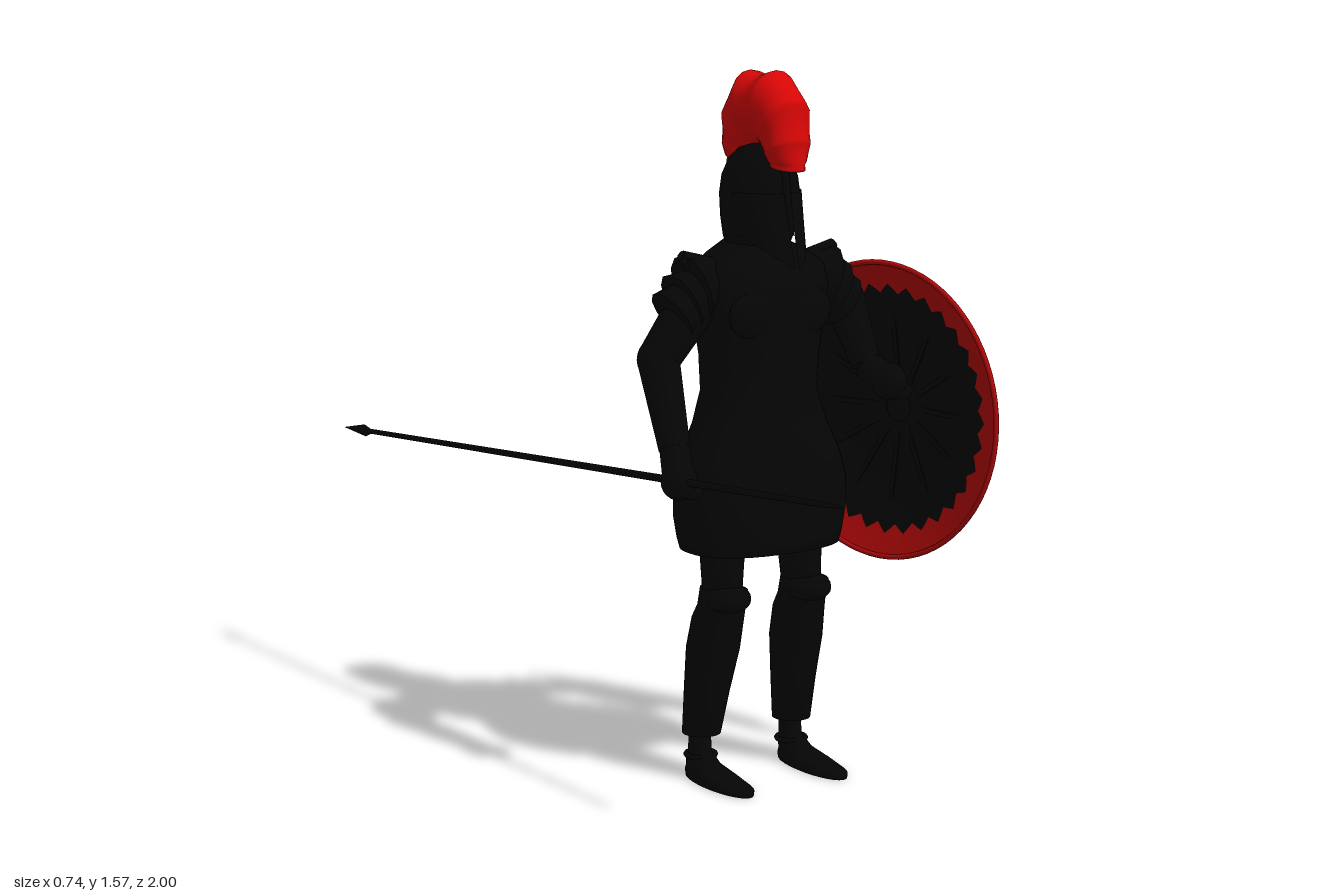
import * as THREE from 'three';

function flat(name, color) {
  const m = new THREE.MeshStandardMaterial({ color, side: THREE.DoubleSide });
  m.name = name;
  return m;
}
const black = flat('black armour', 0x050505);
const red = flat('crest red', 0xd70606);
const darkRed = flat('shield red', 0xb20808);

const V = (x, y, z) => new THREE.Vector3(x, y, z);

function add(parent, name, geometry, material = black) {
  const mesh = new THREE.Mesh(geometry, material);
  mesh.name = name;
  parent.add(mesh);
  return mesh;
}

// Skin over rows of points; closed rows wrap around
function skin(rows, closed = true) {
  const n = rows[0].length, index = [];
  for (let r = 0; r < rows.length - 1; r++) {
    for (let i = 0; i < (closed ? n : n - 1); i++) {
      const j = (i + 1) % n, a = r * n + i, b = a + n, c = r * n + j, d = c + n;
      index.push(a, b, c, b, d, c);
    }
  }
  const g = new THREE.BufferGeometry().setFromPoints(rows.flat());
  g.setIndex(index);
  g.computeVertexNormals();
  return g;
}

// Upright body from ellipses [y, centreX, centreZ, radiusX, radiusZ], bottom to top;
// a power below 1 makes the outline squarer
function loft(sections, seg = 28, power = 1) {
  const bend = v => Math.sign(v) * Math.abs(v) ** power;
  const first = sections[0], last = sections[sections.length - 1];
  const all = [[...first.slice(0, 3), 0, 0], ...sections, [...last.slice(0, 3), 0, 0]];
  return skin(all.map(([y, cx, cz, rx, rz]) => Array.from({ length: seg }, (_, i) => {
    const t = (i / seg) * Math.PI * 2;
    return V(cx + rx * bend(Math.cos(t)), y, cz + rz * bend(Math.sin(t)));
  })));
}

// Tapered cylinder between two points
function bone(parent, name, a, b, ra, rb, seg = 14) {
  const mesh = add(parent, name, new THREE.CylinderGeometry(rb, ra, a.distanceTo(b), seg));
  mesh.position.copy(a).lerp(b, 0.5);
  mesh.quaternion.setFromUnitVectors(V(0, 1, 0), b.clone().sub(a).normalize());
  return mesh;
}

function ball(parent, name, p, rx, ry = rx, rz = rx) {
  const mesh = add(parent, name, new THREE.SphereGeometry(1, 16, 12));
  mesh.position.copy(p);
  mesh.scale.set(rx, ry, rz);
  return mesh;
}

function makeLeg(s) {
  const leg = new THREE.Group();
  leg.name = s > 0 ? 'leftLeg' : 'rightLeg';
  add(leg, 'thigh', loft([[0.42, s * 0.105, 0.35, 0.04, 0.05], [0.62, s * 0.1, 0.34, 0.055, 0.06]]));
  add(leg, 'greave', loft([
    [0.1, s * 0.121, 0.291, 0.043, 0.044], [0.2, s * 0.116, 0.305, 0.049, 0.055],
    [0.3, s * 0.111, 0.322, 0.057, 0.065], [0.37, s * 0.108, 0.337, 0.054, 0.065],
    [0.4, s * 0.107, 0.35, 0.049, 0.062], [0.44, s * 0.107, 0.36, 0.047, 0.065]]));
  ball(leg, 'kneecap', V(s * 0.107, 0.42, 0.375), 0.052, 0.033, 0.052);
  add(leg, 'foot', loft([
    [0, s * 0.125, 0.37, 0.042, 0.122], [0.012, s * 0.125, 0.37, 0.041, 0.125],
    [0.022, s * 0.125, 0.345, 0.037, 0.095], [0.035, s * 0.124, 0.305, 0.03, 0.055],
    [0.06, s * 0.122, 0.286, 0.023, 0.032], [0.12, s * 0.121, 0.285, 0.022, 0.03]]));
  const strap = add(leg, 'ankleStrap', new THREE.TorusGeometry(0.033, 0.006, 6, 18));
  strap.rotation.x = Math.PI / 2;
  strap.position.set(s * 0.122, 0.05, 0.29);
  return leg;
}

function makeTorso(parent) {
  add(parent, 'cuirassAndTunic', loft([
    [0.525, 0, 0.34, 0.186, 0.122], [0.55, 0, 0.34, 0.193, 0.126], [0.6, 0, 0.34, 0.202, 0.13],
    [0.67, 0, 0.34, 0.202, 0.13], [0.73, 0, 0.34, 0.185, 0.124], [0.8, 0, 0.337, 0.152, 0.112],
    [0.87, 0, 0.333, 0.13, 0.102], [0.95, 0, 0.333, 0.133, 0.107], [1.04, 0, 0.333, 0.148, 0.115],
    [1.1, 0, 0.33, 0.16, 0.11], [1.145, 0, 0.328, 0.152, 0.1], [1.175, 0, 0.325, 0.11, 0.085],
    [1.2, 0, 0.32, 0.06, 0.07], [1.25, 0, 0.32, 0.055, 0.065]], 44, 0.82));
  for (const s of [-1, 1]) {
    ball(parent, 'chestPlate', V(s * 0.06, 1.05, 0.415), 0.07, 0.06, 0.033);
    // Flared shoulder layers with raised points
    for (let i = 0; i < 3; i++) {
      bone(parent, 'shoulderLayer', V(s * (0.11 + i * 0.024), 1.125 - i * 0.016, 0.33),
        V(s * (0.172 + i * 0.025), 1.105 - i * 0.028, 0.33), 0.045, 0.076 - i * 0.007, 12);
    }
    bone(parent, 'shoulderPoint', V(s * 0.14, 1.14, 0.33), V(s * 0.2, 1.178, 0.33), 0.035, 0.012, 8);
  }
}

function makeHelmet(parent) {
  const helmet = new THREE.Group();
  helmet.name = 'helmet';
  add(helmet, 'skullCap', loft([
    [1.185, 0, 0.325, 0.064, 0.078], [1.21, 0, 0.328, 0.073, 0.084], [1.25, 0, 0.333, 0.08, 0.095],
    [1.3, 0, 0.334, 0.081, 0.102], [1.34, 0, 0.334, 0.074, 0.1], [1.375, 0, 0.335, 0.058, 0.087],
    [1.4, 0, 0.336, 0.042, 0.062], [1.412, 0, 0.336, 0.015, 0.025]]));
  // Cheek guards sweep down and forward to a point
  for (const s of [-1, 1]) {
    const rows = [0, 0.33, 0.66, 1].map(t => Array.from({ length: 9 }, (_, i) => {
      const k = i / 8, a = 0.07 + k * 1.37;
      return V(s * Math.sin(a) * 0.083 * (1 - 0.12 * t), 1.31 - t * (0.16 - 0.07 * k),
        0.335 + Math.cos(a) * (0.104 + 0.04 * t));
    }));
    add(helmet, 'cheekGuard', skin(rows, false));
  }
  bone(helmet, 'noseGuard', V(0, 1.36, 0.428), V(0, 1.22, 0.455), 0.01, 0.007, 6);
  parent.add(helmet);

  // Crest: pointed tufts fanned from brow to nape
  const rows = [], steps = 112, start = -0.12, sweep = Math.PI + 0.34;
  for (let k = 0; k <= steps; k++) {
    const a = start + (k / steps) * sweep;
    const c = Math.cos(a), sn = Math.sin(a), mid = Math.max(0, sn);
    const tuft = 1 - Math.abs(Math.sin((k / steps) * Math.PI * 7));
    const out = Math.pow(Math.pow(Math.abs(c) / 0.127, 3) + Math.pow(Math.abs(sn) / 0.198, 3), -1 / 3);
    const rOut = out * (1 - 0.07 * mid * (1 - tuft)), rIn = 0.035;
    const w = (0.035 + 0.027 * Math.sqrt(mid)) * (0.95 + 0.05 * tuft);
    rows.push(Array.from({ length: 20 }, (_, i) => {
      const u = (i / 20) * Math.PI * 2;
      const rad = (rOut + rIn) / 2 + ((rOut - rIn) / 2) * Math.cos(u);
      return V(w * Math.sin(u) * (1 + 0.1 * Math.cos(u)), 1.374 + sn * rad, 0.356 + c * rad);
    }));
  }
  const cap = row => {
    const m = row.reduce((p, q) => p.add(q), V(0, 0, 0)).divideScalar(row.length);
    return row.map(() => m);
  };
  add(parent, 'crest', skin([cap(rows[0]), ...rows, cap(rows[steps])]), red);
}

function makeArm(name, shoulder, elbow, wrist, hand) {
  const arm = new THREE.Group();
  arm.name = name;
  bone(arm, 'upperArm', shoulder, elbow, 0.055, 0.046);
  ball(arm, 'elbow', elbow, 0.047);
  bone(arm, 'forearm', elbow, wrist, 0.046, 0.034);
  bone(arm, 'palm', wrist, hand, 0.033, 0.036);
  ball(arm, 'hand', hand, 0.04, 0.042, 0.042);
  for (let i = 0; i < 4; i++) {
    ball(arm, 'finger', hand.clone().add(V(0.018, -0.02, -0.027 + i * 0.018)), 0.026, 0.018, 0.01);
  }
  return arm;
}

function makeShield() {
  const shield = new THREE.Group();
  shield.name = 'shield';
  const R = 0.335, seg = 128, H = 0.065;
  const dome = r => H * (1 - (r / R) ** 2);
  const disc = (f0, f1, steps) => skin(Array.from({ length: steps + 1 }, (_, k) =>
    Array.from({ length: seg }, (_, i) => {
      const t = (i / seg) * Math.PI * 2, tooth = Math.abs((i % 4) - 2) / 2;
      const r = R * THREE.MathUtils.lerp(f0(tooth), f1(tooth), k / steps);
      return V(r * Math.cos(t), r * Math.sin(t), dome(r));
    })));
  const teeth = tooth => 0.78 + 0.065 * tooth;
  add(shield, 'shieldFace', disc(() => 0, teeth, 8));
  add(shield, 'toothedBorder', disc(teeth, () => 1, 4), darkRed);
  add(shield, 'shieldRim', new THREE.TorusGeometry(R - 0.003, 0.006, 8, 72), darkRed);
  ball(shield, 'boss', V(0, 0, H), 0.035, 0.035, 0.012);
  // Radial ribs
  for (let i = 0; i < 12; i++) {
    const spoke = new THREE.Group();
    spoke.rotation.z = (i / 12) * Math.PI * 2;
    const rib = add(spoke, 'rib', new THREE.BoxGeometry(0.19, 0.012, 0.008));
    rib.position.set(0.13, 0, dome(0.13));
    rib.rotation.y = 0.15;
    shield.add(spoke);
  }
  shield.position.set(0.273, 0.802, 0.39);
  shield.rotation.y = 1.838;
  shield.scale.x = 0.962;
  return shield;
}

function makeSpear() {
  const spear = new THREE.Group();
  spear.name = 'spear';
  const tip = V(-0.36, 0.607, -1), tail = V(-0.265, 0.753, 1);
  const at = t => tip.clone().lerp(tail, t);
  bone(spear, 'shaft', at(0.05), at(0.7), 0.006, 0.0085, 10);
  bone(spear, 'taperedTail', at(0.7), at(0.97), 0.0085, 0.006, 10);
  bone(spear, 'tailSpike', at(0.97), at(1), 0.006, 0.002, 10);
  bone(spear, 'bladeTip', at(0.05), at(0), 0.015, 0.0005, 4);
  bone(spear, 'bladeBase', at(0.065), at(0.05), 0.006, 0.015, 4);
  return spear;
}

export function createModel() {
  const model = new THREE.Group();
  model.name = 'spearWarrior';
  const body = new THREE.Group();
  body.name = 'body';
  body.position.x = -0.017;
  makeTorso(body);
  makeHelmet(body);
  body.add(makeLeg(-1), makeLeg(1));
  model.add(body);
  model.add(makeArm('rightArm', V(-0.17, 1.09, 0.33), V(-0.265, 0.955, 0.315), V(-0.281, 0.775, 0.405), V(-0.29, 0.712, 0.438)));
  model.add(makeArm('leftArm', V(0.14, 1.09, 0.33), V(0.225, 1.045, 0.315), V(0.235, 0.91, 0.385), V(0.262, 0.875, 0.435)));
  model.add(makeShield(), makeSpear());
  return model;
}
